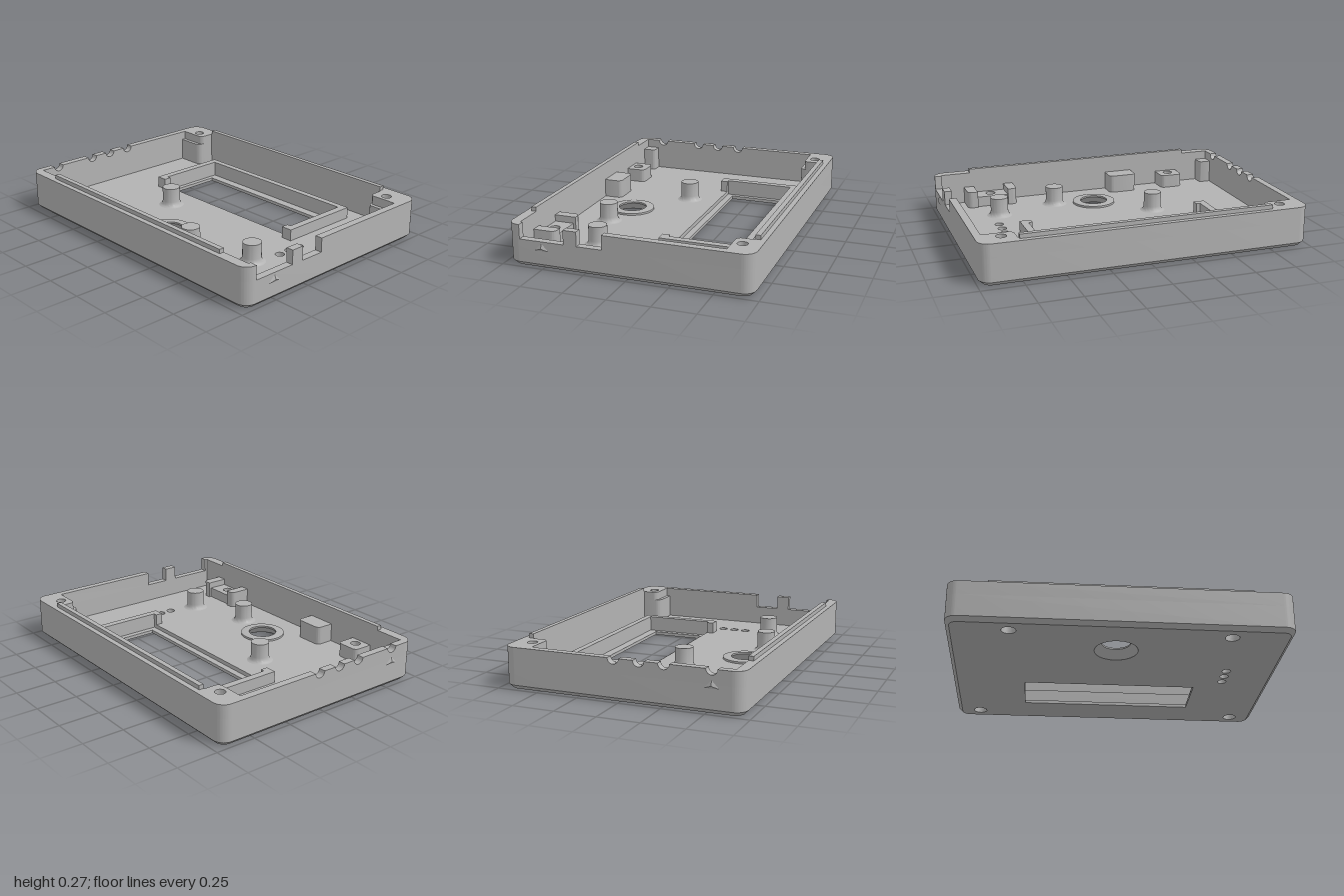
import * as THREE from 'three';
import { toCreasedNormals } from 'three/addons/utils/BufferGeometryUtils.js';

const X = 0.99, Z = 0.716;          // outer half sizes
const IX = 0.945, IZ = 0.655;       // inner half sizes
const FLOOR = 0.045, CUT = 0.16, TOP = 0.245;

export function createModel() {
  const model = new THREE.Group();
  const grey = new THREE.MeshStandardMaterial({ color: 0xb2b2b2, side: THREE.DoubleSide });
  grey.name = 'grey plastic';

  const add = (name, geometry) => {
    const mesh = new THREE.Mesh(toCreasedNormals(geometry, 0.6), grey);
    mesh.name = name;
    model.add(mesh);
    return mesh;
  };
  // Rectangle in plan with radii for its (x0 z0), (x1 z0), (x1 z1), (x0 z1) corners
  const rect = (x0, x1, z0, z1, r = [0, 0, 0, 0], C = THREE.Shape) => {
    const s = new C();
    const [a, b, c, d] = r;
    s.moveTo(x0 + a, z0);
    s.lineTo(x1 - b, z0);
    if (b) s.absarc(x1 - b, z0 + b, b, -Math.PI / 2, 0, false);
    s.lineTo(x1, z1 - c);
    if (c) s.absarc(x1 - c, z1 - c, c, 0, Math.PI / 2, false);
    s.lineTo(x0 + d, z1);
    if (d) s.absarc(x0 + d, z1 - d, d, Math.PI / 2, Math.PI, false);
    s.lineTo(x0, z0 + a);
    if (a) s.absarc(x0 + a, z0 + a, a, Math.PI, Math.PI * 1.5, false);
    return s;
  };
  const circle = (x, z, r) => new THREE.Path().absarc(x, z, r, 0, Math.PI * 2, false);
  const poly = pts => new THREE.Shape(pts.map(p => new THREE.Vector2(p[0], p[1])));
  // Extrude a plan shape between two heights
  const slab = (name, shape, y0, y1) => {
    const g = new THREE.ExtrudeGeometry(shape, { depth: y1 - y0, bevelEnabled: false, curveSegments: 12 });
    return add(name, g.rotateX(Math.PI / 2).translate(0, y1, 0));
  };
  // Extrude an elevation shape, drawn in (-z, y), across the thickness of a side wall
  const sideWall = (name, shape, x0) => {
    const g = new THREE.ExtrudeGeometry(shape, { depth: X - IX, bevelEnabled: false, curveSegments: 10 });
    return add(name, g.rotateY(Math.PI / 2).translate(x0, 0, 0));
  };
  // Solid block whose top has a blind screw hole
  const drilled = (name, shape, y0, y1, hx, hz) => {
    slab(name, shape, y0, y1 - 0.03);
    const upper = shape.clone();
    upper.holes.push(circle(hx, hz, 0.03));
    slab(name + 'Top', upper, y1 - 0.03, y1);
  };

  // Floor in two layers: window opening below, wider display recess above
  const floorLayer = (name, opening, y0, y1) => {
    const r = 0.05, s = rect(-X + 0.025, X - 0.025, -Z + 0.025, Z - 0.025, [r, r, r, r]);
    s.holes.push(rect(...opening, undefined, THREE.Path), circle(-0.012, 0.385, 0.13));
    for (const z of [-0.015, 0.065, 0.145]) s.holes.push(circle(0.685, z, 0.027));
    for (const m of [-1, 1]) s.holes.push(circle(m * 0.845, -0.61, 0.042), circle(m * 0.635, 0.605, 0.042));
    slab(name, s, y0, y1);
  };
  floorLayer('lowerFloor', [-0.545, 0.52, -0.455, -0.12], 0, 0.02);
  floorLayer('upperFloor', [-0.575, 0.555, -0.51, -0.08], 0.02, FLOOR);

  // Chamfer around the bottom edge
  const outline = (inset, r) => rect(-X + inset, X - inset, -Z + inset, Z - inset, [r, r, r, r]).getPoints(12);
  const low = outline(0.025, 0.05), high = outline(0, 0.07);
  const positions = [];
  for (let i = 0; i < low.length; i++) {
    const j = (i + 1) % low.length;
    const a = [low[i].x, 0, low[i].y], b = [low[j].x, 0, low[j].y];
    const c = [high[j].x, 0.025, high[j].y], d = [high[i].x, 0.025, high[i].y];
    positions.push(...a, ...d, ...c, ...a, ...c, ...b);
  }
  const skirt = new THREE.BufferGeometry();
  skirt.setAttribute('position', new THREE.Float32BufferAttribute(positions, 3));
  add('bottomChamfer', skirt);

  // Continuous lower wall
  const ring = rect(-X, X, -Z, Z, [0.07, 0.07, 0.07, 0.07]);
  ring.holes.push(rect(-IX, IX, -IZ, IZ, undefined, THREE.Path));
  slab('lowerWall', ring, 0.025, CUT);

  // Upper front and back walls with rounded corners, and their locating ridges
  for (const [name, m] of [['front', 1], ['back', -1]]) {
    const s = new THREE.Shape(), r = 0.07;
    s.moveTo(-X, m * 0.64);
    s.lineTo(-IX, m * 0.64);
    s.lineTo(-IX, m * IZ);
    s.lineTo(IX, m * IZ);
    s.lineTo(IX, m * 0.64);
    s.lineTo(X, m * 0.64);
    s.lineTo(X, m * (Z - r));
    s.absarc(X - r, m * (Z - r), r, 0, m * Math.PI / 2, m < 0);
    s.absarc(-X + r, m * (Z - r), r, m * Math.PI / 2, m * Math.PI, m < 0);
    slab(name + 'Wall', s, CUT, TOP);
    const z = [m * 0.655, m * 0.685].sort((a, b) => a - b);
    slab(name + 'Ridge', rect(-0.76, 0.76, ...z), TOP, 0.27);
  }

  // Side wall with round cable notches
  const notched = new THREE.Shape();
  notched.moveTo(-0.64, CUT);
  notched.lineTo(0.64, CUT);
  notched.lineTo(0.64, TOP);
  for (const z of [-0.03, 0.12, 0.265, 0.535]) {
    notched.lineTo(-z + 0.033, TOP);
    notched.absarc(-z, TOP, 0.033, 0, Math.PI, true);
  }
  notched.lineTo(-0.64, TOP);
  sideWall('notchedSideWall', notched, -X);

  // Opposite side wall with two square connector cutouts
  for (const [z0, z1] of [[0.29, 0.37], [-0.64, 0.14]])
    sideWall('cutoutSideWall', poly([[-z1, CUT], [-z0, CUT], [-z0, TOP], [-z1, TOP]]), IX);

  // Raised pyramid arrows on the sides
  for (const [m, y, z] of [[1, 0.12, 0.505], [-1, 0.155, 0.535]]) {
    const basis = new THREE.Matrix4().makeBasis(
      new THREE.Vector3(0, 0, m * 0.049), new THREE.Vector3(m, 0, 0), new THREE.Vector3(0, 0.03, 0));
    basis.setPosition(m * (X + 0.005), y, z);
    add('sideArrow', new THREE.ConeGeometry(1, 0.01, 3).applyMatrix4(basis));
  }

  // Back corner screw posts, stepped out below
  for (const m of [-1, 1]) {
    const post = (z, r) => m < 0
      ? rect(-IX, -0.765, -IZ, z, [0, 0, r, 0])
      : rect(0.765, IX, -IZ, z, [0, 0, 0, r]);
    slab('cornerPostBase', post(-0.53, 0.04), FLOOR, 0.19);
    drilled('cornerPost', post(-0.555, 0.03), 0.19, TOP, m * 0.845, -0.61);
  }

  // Blocks along the front wall
  drilled('frontScrewBlock', rect(-0.71, -0.56, 0.53, IZ, [0.03, 0.03, 0, 0]), FLOOR, 0.13, -0.635, 0.605);
  slab('supportBlock', rect(-0.37, -0.185, 0.54, IZ, [0.03, 0.03, 0, 0]), FLOOR, 0.16);
  slab('cornerBlock', rect(-IX, -0.87, 0.575, IZ, [0, 0.02, 0, 0]), FLOOR, 0.19);
  drilled('saddleMiddle', rect(0.535, 0.735, 0.535, IZ), FLOOR, 0.11, 0.635, 0.605);
  slab('saddleUpright', rect(0.475, 0.535, 0.52, IZ, [0.03, 0, 0, 0]), FLOOR, 0.15);
  slab('saddleUpright', rect(0.735, 0.8, 0.52, IZ, [0, 0.03, 0, 0]), FLOOR, 0.15);

  // Display frame, open toward the front, with inward feet
  slab('displayFrame', poly([
    [-0.62, -0.55], [0.6, -0.55], [0.6, -0.035], [0.53, -0.035], [0.53, -0.08], [0.555, -0.08],
    [0.555, -0.51], [-0.575, -0.51], [-0.575, -0.08], [-0.55, -0.08], [-0.55, -0.035], [-0.62, -0.035],
  ]), FLOOR, 0.115);

  // Round posts with a flared foot
  const lathe = (name, pts, x, z) =>
    add(name, new THREE.LatheGeometry(pts.map(p => new THREE.Vector2(...p)), 40).translate(x, 0, z));
  for (const [x, z] of [[-0.32, 0.105], [0.245, 0.435], [0.64, 0.325]])
    lathe('roundPost', [[0.08, FLOOR], [0.067, 0.05], [0.059, 0.06], [0.055, 0.078], [0.055, 0.165], [0, 0.165]], x, z);

  // Conical button hole with a low rim inside
  lathe('buttonHole', [[0.138, FLOOR], [0.138, 0.057], [0.127, 0.06], [0.087, 0.06], [0.087, 0.05], [0.13, 0]], -0.012, 0.385);

  return model;
}
